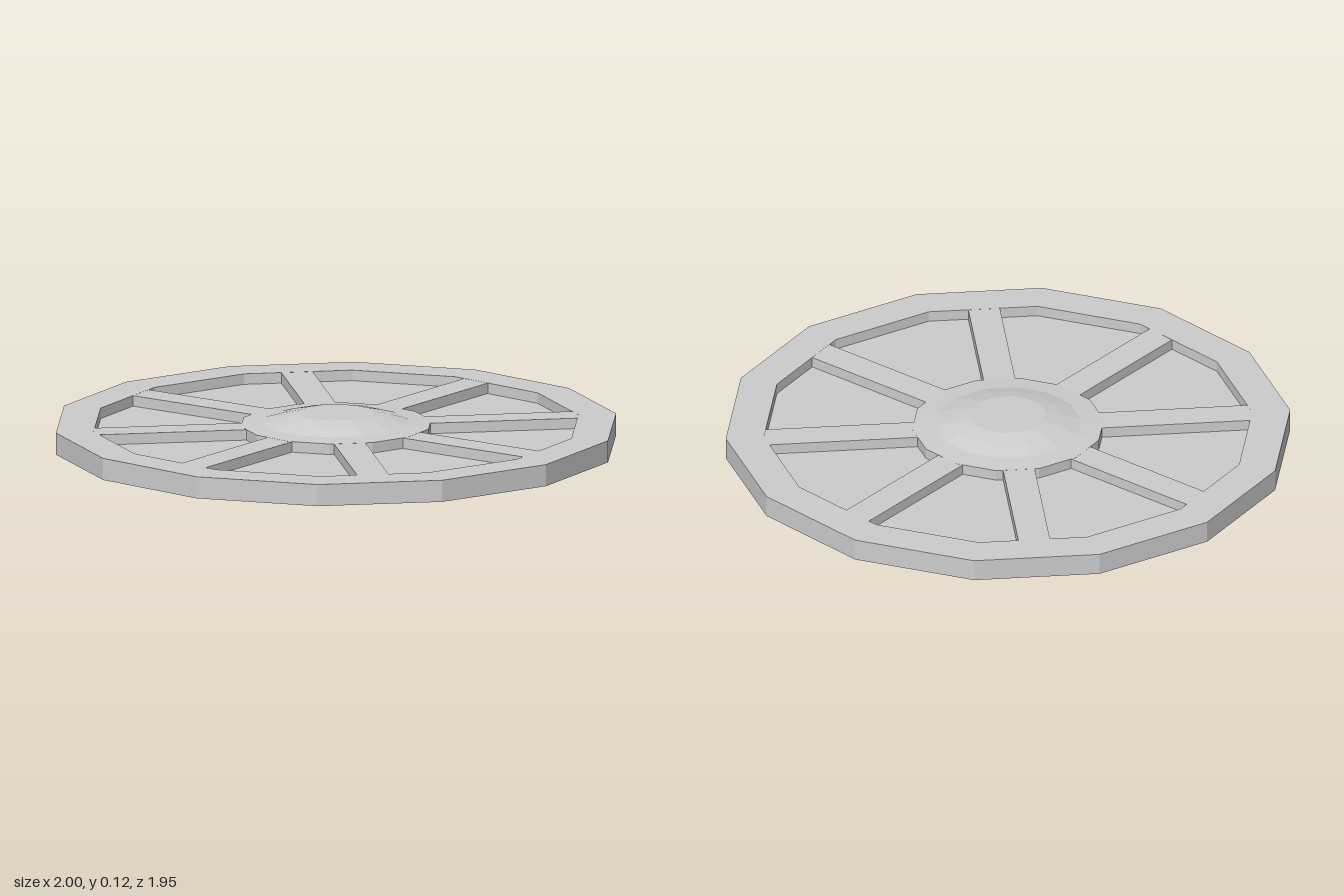
import * as THREE from 'three';

const SIDES = 14, TOP = 0.078, FLOOR = 0.04;

export function createModel() {
  const group = new THREE.Group();
  const grey = new THREE.MeshStandardMaterial({ color: 0xcccccc, flatShading: true, side: THREE.DoubleSide });
  grey.name = 'grey';

  const add = (name, geometry) => {
    const mesh = new THREE.Mesh(geometry, grey);
    mesh.name = name;
    group.add(mesh);
    return mesh;
  };
  // Fourteen-sided shell with a corner on the x axis
  const ring = (name, profile) => add(name, new THREE.LatheGeometry(
    profile.map(([r, y]) => new THREE.Vector2(r, y)), SIDES, Math.PI / 2));

  // Rim, open underneath
  ring('rim', [[1, 0], [1, TOP], [0.865, TOP], [0.865, FLOOR]]);

  // Recessed plate with an open centre
  ring('plate', [[0.865, FLOOR], [0.34, FLOOR]]);

  // Hub wall and shallow stepped dome with a flat top
  ring('hub', [[0.34, FLOOR], [0.34, TOP], [0.26, 0.084], [0.2, 0.102], [0.135, 0.117], [0, 0.117]]);

  // Spokes: open-bottomed channels running slightly into hub and rim
  const section = [[0.056, FLOOR], [0.056, TOP - 0.0004], [-0.056, TOP - 0.0004], [-0.056, FLOOR]];
  const channel = new THREE.PlaneGeometry(1, 1, 3, 1);
  const pos = channel.attributes.position;
  for (let i = 0; i < pos.count; i++) {
    const [z, y] = section[i % 4];
    pos.setXYZ(i, i < 4 ? 0.92 : 0.315, y, z);
  }
  channel.computeVertexNormals();
  for (let i = 0; i < 8; i++) {
    const spoke = add('spoke' + (i + 1), channel);
    spoke.rotation.y = i * Math.PI / 4;
    spoke.position.set(-0.004, 0, -0.004);
  }
  return group;
}
